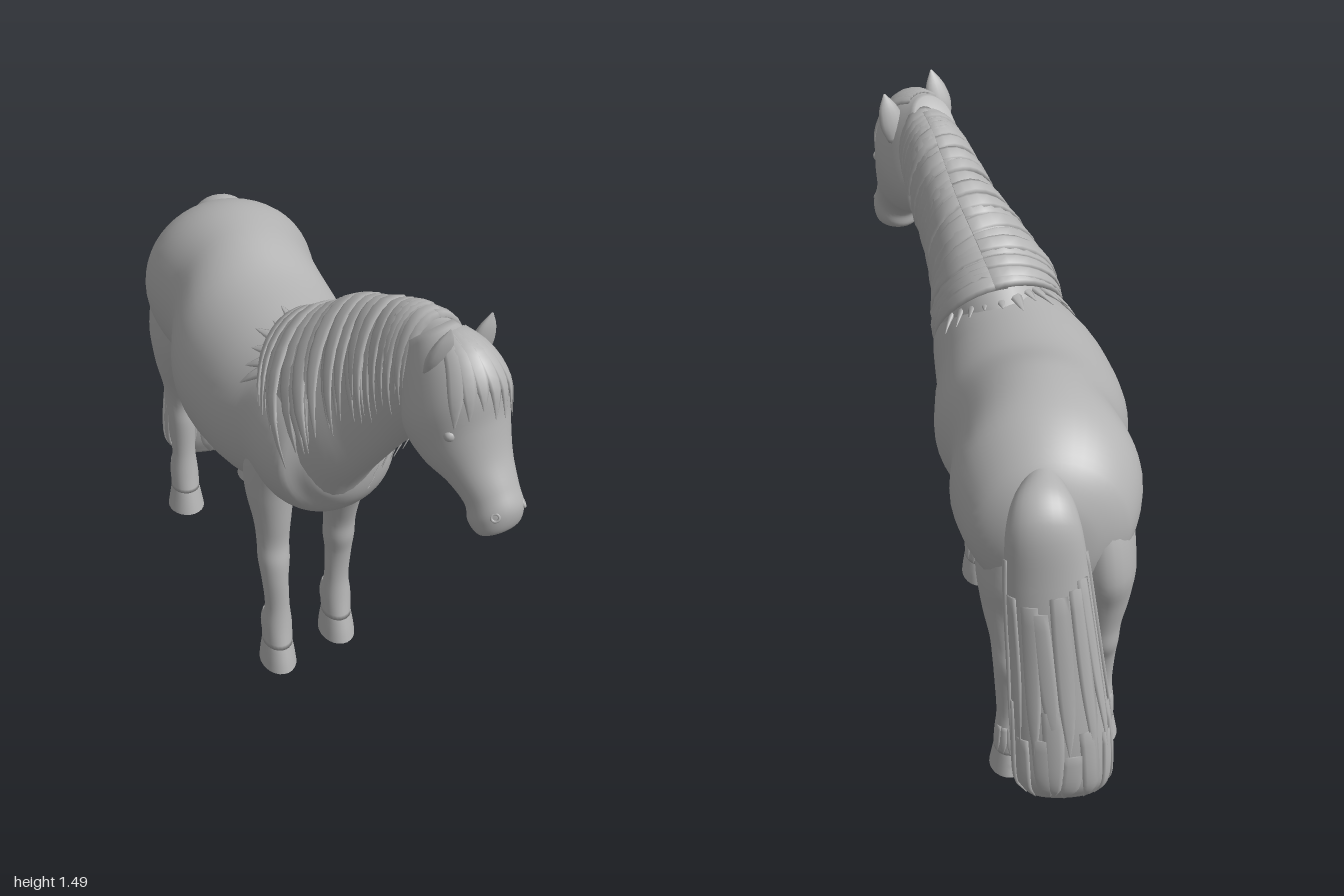
import * as THREE from 'three';
import { toCreasedNormals } from 'three/addons/utils/BufferGeometryUtils.js';

const V = (x, y, z) => new THREE.Vector3(x, y, z);
let seed = 7;
const rnd = () => (seed = (seed * 16807) % 2147483647) / 2147483647;

// Each section is [first point, opposite point, half width]; returns point(t, angle, scale)
function profile(secs) {
  const top = new THREE.CatmullRomCurve3(secs.map(s => s[0]));
  const bot = new THREE.CatmullRomCurve3(secs.map(s => s[1]));
  const wid = new THREE.CatmullRomCurve3(secs.map((s, i) => V(s[2], i * 0.1, 0)));
  const mid = t => top.getPoint(t).add(bot.getPoint(t)).multiplyScalar(0.5);
  return (t, a, k = 1) => {
    t = THREE.MathUtils.clamp(t, 0, 1);
    const c = mid(t), v = top.getPoint(t).sub(c);
    const axis = mid(Math.min(1, t + 0.02)).sub(mid(Math.max(0, t - 0.02)));
    const side = axis.cross(v).normalize().multiplyScalar(Math.max(0.001, wid.getPoint(t).x));
    return c.addScaledVector(v, k * Math.cos(a)).addScaledVector(side, k * Math.sin(a));
  };
}

// Closed smooth skin over a profile
function loft(point, n, m) {
  const pos = [], idx = [], mid = [V(0, 0, 0), V(0, 0, 0)];
  for (let i = 0; i <= n; i++) for (let j = 0; j < m; j++) {
    const p = point(i / n, j / m * Math.PI * 2);
    pos.push(p.x, p.y, p.z);
    if (i === 0) mid[0].addScaledVector(p, 1 / m);
    if (i === n) mid[1].addScaledVector(p, 1 / m);
  }
  for (const c of mid) pos.push(c.x, c.y, c.z);
  const s = (n + 1) * m;
  for (let j = 0; j < m; j++) {
    const k = (j + 1) % m;
    for (let i = 0; i < n; i++) {
      const a = i * m + j, b = i * m + k;
      idx.push(a, b, a + m, b, b + m, a + m);
    }
    idx.push(s, k, j, s + 1, n * m + j, n * m + k);
  }
  const g = new THREE.BufferGeometry();
  g.setAttribute('position', new THREE.Float32BufferAttribute(pos, 3));
  g.setIndex(idx);
  g.computeVertexNormals();
  return g;
}

export function createModel() {
  const model = new THREE.Group();
  const coat = new THREE.MeshStandardMaterial({ color: 0xb3b3b3 });
  coat.name = 'greyCoat';
  const add = (name, geo, parent = model) => {
    const mesh = new THREE.Mesh(geo, coat);
    mesh.name = name;
    parent.add(mesh);
    return mesh;
  };
  const group = name => {
    const g = new THREE.Group();
    g.name = name;
    model.add(g);
    return g;
  };
  // Tapered hair lock lying on a surface, from (t, angle) to (t, angle)
  const lock = (parent, point, from, to, half, lift = 1.04, thick = 0.014) => {
    const secs = [];
    for (let k = 0; k <= 6; k++) {
      const u = k / 6, w = Math.max(0.06, 1 - u ** 3);
      const t = from[0] + (to[0] - from[0]) * u, a = from[1] + (to[1] - from[1]) * u;
      const s = 1 + (lift - 1) * Math.min(1, 0.3 + u);
      secs.push([point(t + half[0] * w, a + half[1] * w, s),
        point(t - half[0] * w, a - half[1] * w, s), thick * w]);
    }
    add('lock', loft(profile(secs), 10, 6), parent);
  };

  // Trunk: [z, x, top, bottom, half width]
  const body = profile([
    [-0.83, -0.1, 0.92, 0.8, 0.03], [-0.81, -0.1, 1.0, 0.71, 0.13], [-0.75, -0.1, 1.09, 0.63, 0.225],
    [-0.6, -0.1, 1.17, 0.61, 0.272], [-0.4, -0.085, 1.175, 0.585, 0.248], [-0.2, -0.083, 1.12, 0.525, 0.287],
    [0, -0.065, 1.105, 0.535, 0.268], [0.15, -0.03, 1.1, 0.56, 0.228], [0.3, -0.012, 1.07, 0.59, 0.21],
    [0.39, 0, 1.02, 0.64, 0.175], [0.435, 0, 0.92, 0.71, 0.1], [0.45, 0, 0.84, 0.78, 0.02],
  ].map(([z, x, t, b, w]) => [V(x, t, z), V(x, b, z), w]));
  add('body', loft(body, 66, 48));

  // Neck: crest point to throat point
  const neck = profile([
    [V(-0.04, 1.06, -0.03), V(-0.01, 0.62, 0.26), 0.14], [V(0, 1.145, 0.1), V(0, 0.67, 0.4), 0.182],
    [V(0.04, 1.21, 0.2), V(0.01, 0.77, 0.462), 0.165], [V(0.1, 1.3, 0.32), V(0.06, 0.88, 0.53), 0.127],
    [V(0.14, 1.36, 0.45), V(0.12, 0.99, 0.6), 0.108], [V(0.18, 1.42, 0.58), V(0.16, 1.07, 0.66), 0.098],
    [V(0.22, 1.43, 0.7), V(0.18, 1.15, 0.72), 0.08],
  ]);
  add('neck', loft(neck, 36, 36));

  // Head, turned to its left: [face z, face y, jaw z, jaw y, half width]
  const hx = z => 0.22 + 0.5 * (z - 0.77);
  const head = profile([
    [0.73, 1.45, 0.63, 1.35, 0.06], [0.84, 1.42, 0.63, 1.2, 0.112], [0.9, 1.34, 0.65, 1.1, 0.138],
    [0.91, 1.23, 0.725, 1.035, 0.126], [0.93, 1.13, 0.81, 1.0, 0.098], [0.965, 1.05, 0.855, 0.955, 0.08],
    [0.99, 0.99, 0.865, 0.91, 0.08], [0.98, 0.93, 0.9, 0.89, 0.064], [0.955, 0.905, 0.935, 0.898, 0.02],
  ].map(([fz, fy, jz, jy, w]) => [V(hx(fz), fy, fz), V(hx(jz), jy, jz), w]));
  add('head', loft(head, 48, 36));

  for (const s of [-1, 1]) {
    const eye = add('eye', new THREE.SphereGeometry(0.018, 14, 10));
    eye.position.copy(head(0.34, s * 1.05, 0.92));
    const nostril = add('nostril', new THREE.TorusGeometry(0.011, 0.004, 8, 14));
    nostril.position.copy(head(0.74, s * 0.75, 0.98));
    nostril.lookAt(head(0.74, s * 0.75, 2));
  }

  // Ears
  for (const [name, b, p] of [['rightEar', V(0.145, 1.34, 0.79), V(0.18, 1.49, 0.835)],
    ['leftEar', V(0.295, 1.31, 0.71), V(0.33, 1.46, 0.73)]]) {
    const secs = [[0, 0.028], [0.35, 0.04], [0.7, 0.03], [1, 0.003]].map(([u, r]) => {
      const c = b.clone().lerp(p, u), f = V(0.4, 0, 0.9).multiplyScalar(r * 0.55);
      return [c.clone().add(f), c.clone().sub(f), r];
    });
    add(name, loft(profile(secs), 12, 14));
  }

  // Mane: locks over both sides of the neck, then over the withers
  const mane = group('mane');
  for (const s of [-1, 1]) for (let i = 0; i < 30; i++) {
    const t = 0.17 + 0.76 * i / 29;
    const reach = (s < 0 ? 2.65 : 2.1) * Math.min(1, 0.35 + t * 2.3) * (0.8 + 0.25 * rnd());
    const lift = s < 0 ? 1.06 + 0.05 * rnd() : 1.06 + 0.16 * Math.sin(Math.PI * t) * (0.4 + 0.8 * rnd());
    lock(mane, neck, [t, -0.1 * s], [t - 0.05 * rnd(), s * reach], [0.036, 0], lift, 0.006 + 0.006 * rnd());
  }
  for (let j = -5; j <= 5; j++) {
    lock(mane, body, [0.67, j * 0.12], [0.525 + 0.018 * Math.abs(j) + 0.025 * rnd(), j * 0.2],
      [0.004, 0.1], 1.03, 0.01);
  }
  const forelock = group('forelock');
  for (let j = -3; j <= 3; j++) {
    lock(forelock, head, [0.04, j * 0.16], [0.38 - 0.07 * rnd(), j * 0.3], [0.003, 0.22], 1.03, 0.008);
  }

  // Legs: [y, outward offset, front z, back z, half width]; the last three rows are the hoof
  const fore = [
    [0.92, -0.02, 0.26, 0.16, 0.02], [0.82, 0, 0.31, 0.1, 0.068], [0.65, 0.008, 0.29, 0.107, 0.077],
    [0.52, 0.005, 0.24, 0.12, 0.058], [0.44, 0.005, 0.212, 0.115, 0.05], [0.38, 0.005, 0.208, 0.103, 0.049],
    [0.32, 0.005, 0.195, 0.11, 0.042], [0.22, 0, 0.19, 0.115, 0.038], [0.15, 0, 0.2, 0.09, 0.046],
    [0.08, 0, 0.218, 0.085, 0.046], [0.04, 0, 0.232, 0.075, 0.052], [0.005, 0, 0.242, 0.07, 0.056],
  ];
  const hind = [
    [1.0, -0.06, -0.6, -0.7, 0.02], [0.88, -0.02, -0.48, -0.785, 0.086], [0.7, 0, -0.5, -0.815, 0.094],
    [0.58, 0.003, -0.57, -0.8, 0.079], [0.48, 0, -0.65, -0.81, 0.058], [0.41, 0, -0.695, -0.825, 0.05],
    [0.34, 0, -0.715, -0.815, 0.045], [0.22, 0, -0.728, -0.805, 0.039], [0.14, 0, -0.715, -0.815, 0.046],
    [0.08, 0, -0.7, -0.815, 0.047], [0.04, 0, -0.688, -0.822, 0.054], [0.005, 0, -0.678, -0.828, 0.06],
  ];
  const leg = (name, rows, x, side, step) => {
    const g = group(name);
    const secs = rows.map(([y, off, f, b, w]) => {
      const dz = step * THREE.MathUtils.clamp((0.65 - y) / 0.35, 0, 1);
      return [V(x + side * off, y, f + dz), V(x + side * off, y, b + dz), w];
    });
    const limb = profile(secs.slice(0, 10));
    add('limb', loft(limb, 45, 24), g);
    add('hoof', toCreasedNormals(loft(profile(secs.slice(9)), 6, 24), 1), g);
    // feathering behind the fetlock
    for (let j = -2; j <= 2; j++) {
      const a = Math.PI + j * 0.45;
      lock(g, limb, [0.83, a], [0.97 + 0.03 * rnd(), a], [0.002, 0.25], 1.05, 0.005);
    }
  };
  leg('leftForeleg', fore, 0.063, 1, 0);
  leg('rightForeleg', fore, -0.152, -1, 0.1);
  leg('leftHindLeg', hind, 0.01, 1, 0);
  leg('rightHindLeg', hind, -0.26, -1, 0.12);

  // Sheath under the belly
  const sheath = add('sheath', new THREE.SphereGeometry(0.04, 18, 12));
  sheath.position.set(-0.1, 0.65, -0.5);
  sheath.scale.set(0.8, 0.7, 1.2);

  // Tail: [x, back y, back z, front y, front z, half width]
  const tail = profile([
    [-0.08, 1.08, -0.74, 0.96, -0.74, 0.05], [-0.075, 1.065, -0.85, 0.95, -0.79, 0.085],
    [-0.075, 1.0, -0.918, 0.88, -0.8, 0.105], [-0.085, 0.8, -0.943, 0.78, -0.8, 0.118],
    [-0.11, 0.5, -0.965, 0.5, -0.825, 0.13], [-0.13, 0.25, -0.985, 0.25, -0.84, 0.14],
    [-0.135, 0.1, -0.98, 0.1, -0.855, 0.135], [-0.135, 0.035, -0.95, 0.035, -0.88, 0.1],
  ].map(([x, by, bz, fy, fz, w]) => [V(x, by, bz), V(x, fy, fz), w]));
  add('tail', loft(tail, 42, 28));
  const strands = group('tailStrands');
  for (let j = 0; j < 32; j++) {
    const a = j * Math.PI / 8 + 0.3 * rnd(), t = j < 16 ? 0.35 : 0.62;
    lock(strands, tail, [t + 0.12 * rnd(), a], [t + 0.34 + 0.06 * rnd(), a + 0.4 * (rnd() - 0.5)],
      [0, 0.22], 1.04, 0.007);
  }
  return model;
}
